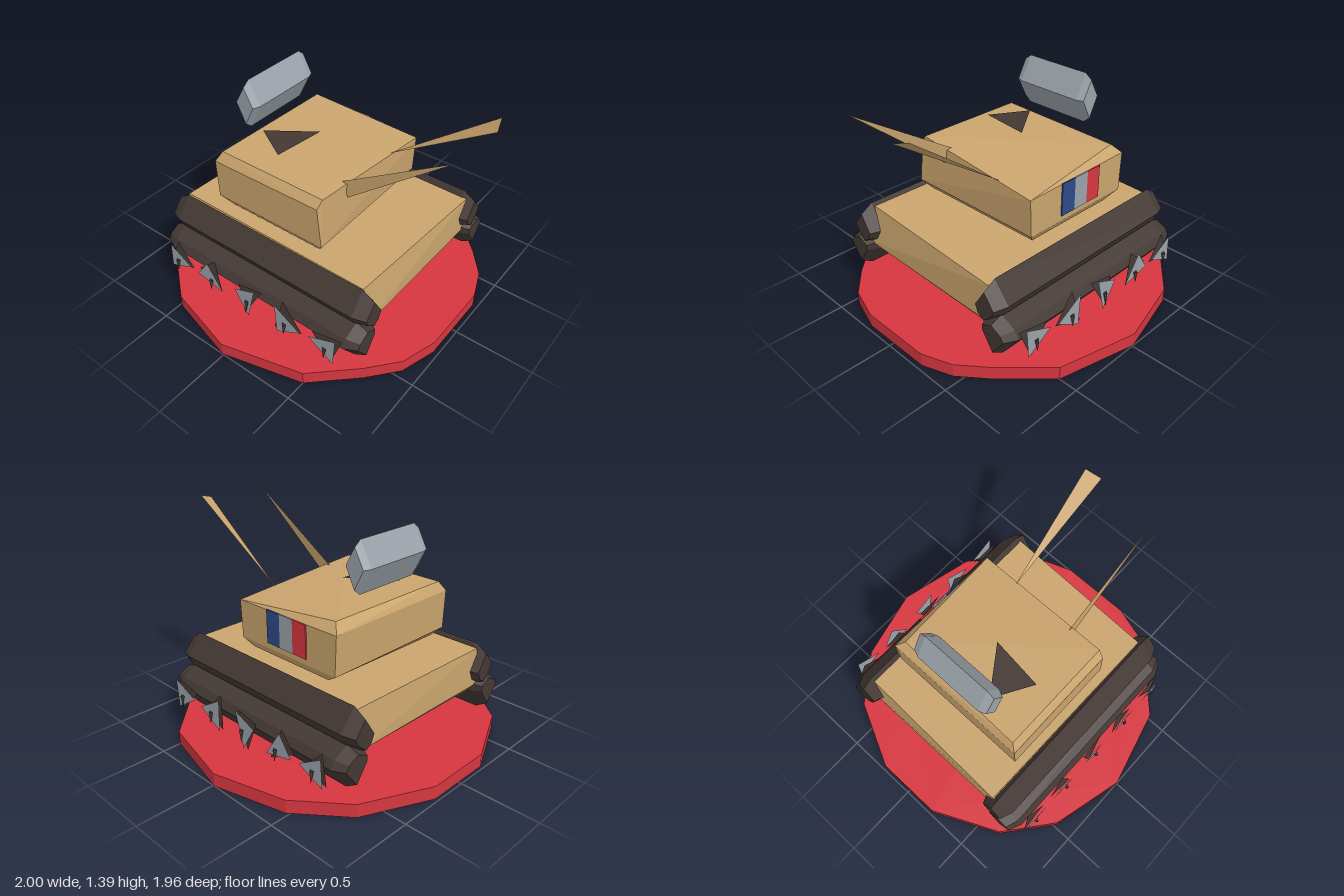
import * as THREE from 'three';
import { ConvexGeometry } from 'three/addons/geometries/ConvexGeometry.js';

const V = (x, y, z) => new THREE.Vector3(x, y, z);

function paint(name, color) {
  const m = new THREE.MeshStandardMaterial({ color, side: THREE.DoubleSide, flatShading: true });
  m.name = name;
  return m;
}

export function createModel() {
  const tan = paint('sand tan', 0xc9a46d);
  const red = paint('base red', 0xd6363f);
  const dark = paint('track brown', 0x433834);
  const grey = paint('steel grey', 0x9aa2a9);
  const blue = paint('flag blue', 0x2d4a8a);

  const model = new THREE.Group();
  model.name = 'tank';

  const add = (name, geometry, material, parent = model) => {
    const mesh = new THREE.Mesh(geometry, material);
    mesh.name = name;
    parent.add(mesh);
    return mesh;
  };

  // Faceted solid wrapped around a few corner points
  const solid = (corners) => new ConvexGeometry(corners.map((c) => V(...c)));

  // Single flat triangle
  const triangle = (a, b, c) => {
    const g = new THREE.BufferGeometry().setFromPoints([V(...a), V(...b), V(...c)]);
    g.computeVertexNormals();
    return g;
  };

  // Convex section carried along an axis with shrunken, bevelled ends
  const bevelledBar = (section, half, bevel, shrink, place) => {
    const cu = section.reduce((s, p) => s + p[0], 0) / section.length;
    const cv = section.reduce((s, p) => s + p[1], 0) / section.length;
    const pts = [];
    for (const [w, k] of [[-half, shrink], [-half + bevel, 1], [half - bevel, 1], [half, shrink]]) {
      for (const [u, v] of section) pts.push(place(cu + (u - cu) * k, cv + (v - cv) * k, w));
    }
    return solid(pts);
  };

  // Round-ish base plate
  const outline = [
    [-0.22, -0.98], [0.22, -0.98], [0.64, -0.78], [0.88, -0.48], [1, -0.01], [0.88, 0.5],
    [0.62, 0.76], [0.45, 0.9], [0.26, 0.97], [-0.22, 0.97], [-0.45, 0.9], [-0.63, 0.75],
    [-0.87, 0.5], [-1, -0.01], [-0.88, -0.48], [-0.64, -0.78],
  ];
  add('base', solid(outline.flatMap(([x, z]) => [[x, 0, z], [x, 0.085, z]])), red);

  // Hull with a slightly skewed top
  add('hull', solid([
    [-0.53, 0.58, 0.66], [0.53, 0.56, 0.7], [-0.52, 0.58, -0.7], [0.53, 0.57, -0.67],
    [-0.56, 0.33, 0.7], [0.54, 0.31, 0.7], [-0.56, 0.33, -0.7], [0.54, 0.33, -0.7],
    [-0.53, 0.28, 0.64], [0.53, 0.28, 0.68], [-0.53, 0.28, -0.66], [0.53, 0.28, -0.64],
  ]), tan);

  // Turret
  add('turret', solid([
    [-0.44, 0.97, 0.31], [0.48, 0.9, 0.33], [0.43, 0.965, -0.42], [-0.44, 0.97, -0.44],
    [-0.48, 0.92, 0.3], [-0.48, 0.91, -0.47], [0.48, 0.91, -0.47],
    [-0.48, 0.66, 0.33], [0.48, 0.66, 0.32], [-0.48, 0.66, -0.46], [0.48, 0.66, -0.46],
    [-0.44, 0.6, 0.28], [0.44, 0.6, 0.27], [-0.44, 0.6, -0.4], [0.44, 0.6, -0.37],
  ]), tan);

  // Twin gun blades: one flares to its muzzle, the other tapers
  add('leftGun', triangle([0.22, 0.91, 0.3], [0.17, 1.36, 0.98], [0.27, 1.39, 0.95]), tan);
  add('rightGun', triangle([-0.235, 0.87, 0.33], [-0.225, 0.95, 0.27], [-0.23, 1.38, 0.96]), tan);

  // Floating bar and the hatch plate below it
  const diamond = [[1.37, -0.4], [1.22, -0.317], [1.055, -0.4], [1.22, -0.483]];
  add('floatingBar', bevelledBar(diamond, 0.27, 0.045, 0.78, (y, z, x) => [x, y, z]), grey);
  add('hatch', triangle([-0.18, 1.02, -0.35], [-0.32, 1.02, -0.11], [0.02, 1.02, -0.07]), dark);

  // Three-striped side flag
  [['Blue', blue], ['Grey', grey], ['Red', red]].forEach(([label, mat], i) => {
    const stripe = add('flag' + label, new THREE.BoxGeometry(0.008, 0.21, 0.108), mat);
    stripe.position.set(0.488, 0.805, 0.026 - i * 0.108);
  });

  // Running gear, built once per side: two track lobes, wheel plates and hubs
  const upper = [[0.55, 0.6], [0.655, 0.47], [0.62, 0.4], [0.54, 0.33], [0.48, 0.37], [0.45, 0.44]];
  const lower = [[0.6, 0.39], [0.7, 0.34], [0.73, 0.29], [0.61, 0.13], [0.5, 0.29], [0.5, 0.34]];
  const wheels = [
    [[0.36, 0.65], [0.28, 0.46], [0.17, 0.635]],
    [[0.26, 0.4], [0.37, 0.215], [0.16, 0.225]],
    [[0.37, 0.06], [0.305, -0.1], [0.14, 0]],
    [[0.38, -0.32], [0.25, -0.41], [0.205, -0.205]],
    [[0.26, -0.47], [0.36, -0.64], [0.18, -0.65]],
  ];
  for (const side of [1, -1]) {
    const gear = new THREE.Group();
    gear.name = side > 0 ? 'leftRunningGear' : 'rightRunningGear';
    gear.scale.x = side;
    model.add(gear);
    add('upperTrack', bevelledBar(upper, 0.75, 0.08, 0.7, (x, y, z) => [x, y, z]), dark, gear);
    add('lowerTrack', bevelledBar(lower, 0.75, 0.08, 0.7, (x, y, z) => [x, y, z]), dark, gear);
    wheels.forEach((w, i) => {
      const cy = (w[0][0] + w[1][0] + w[2][0]) / 3;
      const cz = (w[0][1] + w[1][1] + w[2][1]) / 3;
      add('wheelPlate', triangle(...w.map(([y, z]) => [0.77, y, z])), grey, gear);
      // Darker backing, turned a little and leaning in towards the track
      const t = 0.25;
      const back = w.map(([y, z]) => {
        const dy = y - cy, dz = z - cz;
        return [0.745 - dy * 0.15, cy + dy * Math.cos(t) - dz * Math.sin(t), cz + dy * Math.sin(t) + dz * Math.cos(t)];
      });
      add('wheelBacking', triangle(...back), dark, gear);
      const hz = 0.58 - i * 0.29;
      add('hub', solid([[0.775, 0.27, hz + 0.014], [0.775, 0.27, hz - 0.014], [0.795, 0.27, hz], [0.785, 0.19, hz]]), dark, gear);
    });
  }
  return model;
}
